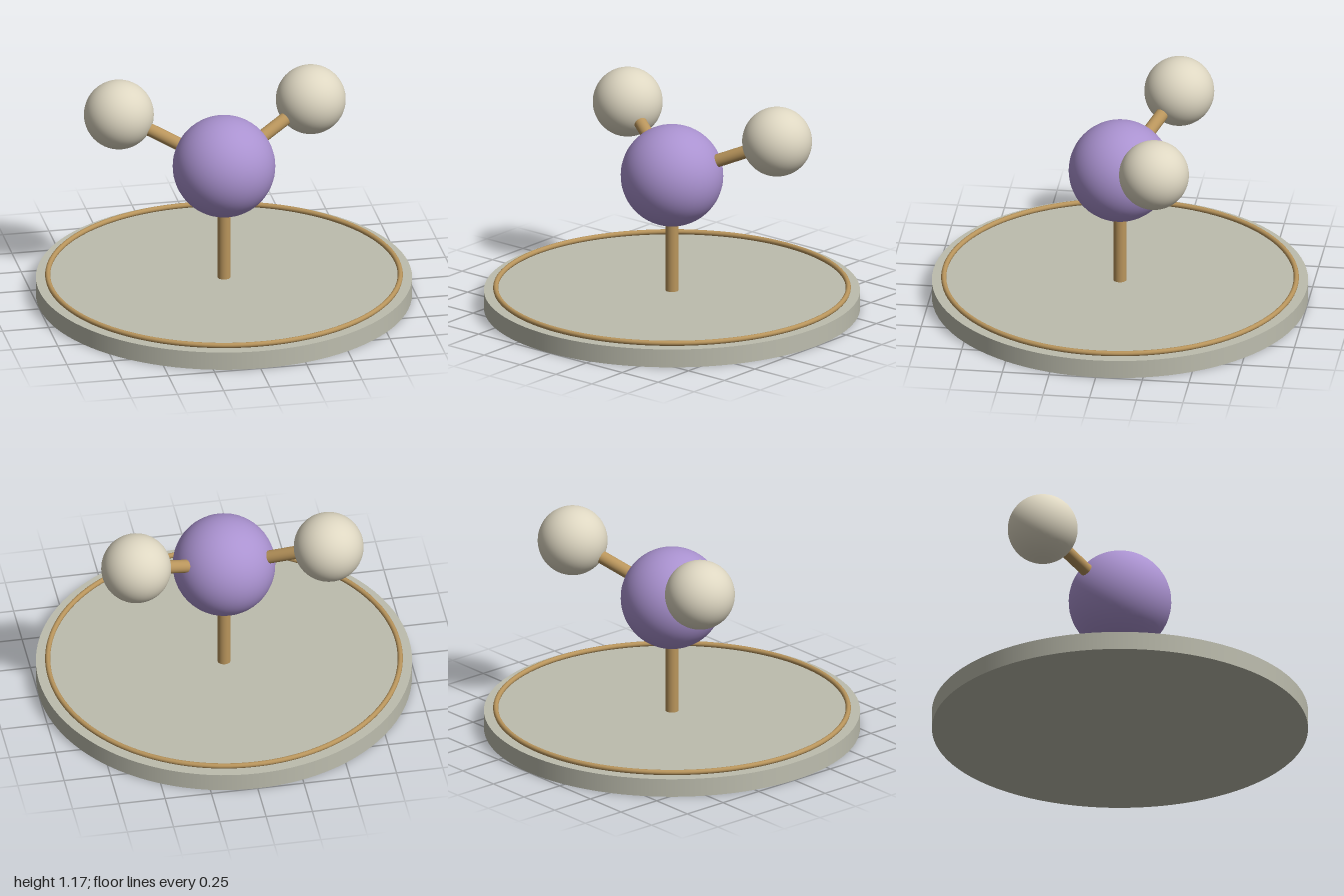
import * as THREE from 'three';

const material = (name, color) => {
  const m = new THREE.MeshStandardMaterial({ color });
  m.name = name;
  return m;
};

export function createModel() {
  const stone = material('stone grey', 0xbdbdae);
  const brass = material('brass', 0xb9955c);
  const violet = material('violet', 0xaa92d0);
  const cream = material('cream', 0xded7c2);

  const model = new THREE.Group();
  model.name = 'moleculeOnStand';

  const add = (name, geometry, mat, position) => {
    const mesh = new THREE.Mesh(geometry, mat);
    mesh.name = name;
    mesh.position.copy(position);
    model.add(mesh);
    return mesh;
  };

  // Straight round rod between two points
  const addRod = (name, from, to) => {
    const along = to.clone().sub(from);
    const middle = from.clone().add(to).multiplyScalar(0.5);
    const rod = add(name, new THREE.CylinderGeometry(0.035, 0.035, along.length(), 32), brass, middle);
    rod.quaternion.setFromUnitVectors(new THREE.Vector3(0, 1, 0), along.normalize());
  };

  // Round base with an inset trim ring
  add('base', new THREE.CylinderGeometry(1, 1, 0.1, 96), stone, new THREE.Vector3(0, 0.05, 0));
  const ring = add('trimRing', new THREE.TorusGeometry(0.937, 0.014, 12, 128), brass, new THREE.Vector3(0, 0.114, 0));
  ring.rotation.x = Math.PI / 2;

  // Central atom on its stem
  const center = new THREE.Vector3(0, 0.743, 0);
  addRod('stem', new THREE.Vector3(0, 0.09, 0), center);
  add('centralAtom', new THREE.SphereGeometry(0.273, 48, 32), violet, center);

  // Two outer atoms, each joined by a bond
  for (const [side, s] of [['left', 1], ['right', -1]]) {
    const outer = new THREE.Vector3(s * 0.52, 0.98, -0.25);
    addRod(side + 'Bond', center, outer);
    add(side + 'Atom', new THREE.SphereGeometry(0.186, 48, 32), cream, outer);
  }

  return model;
}
